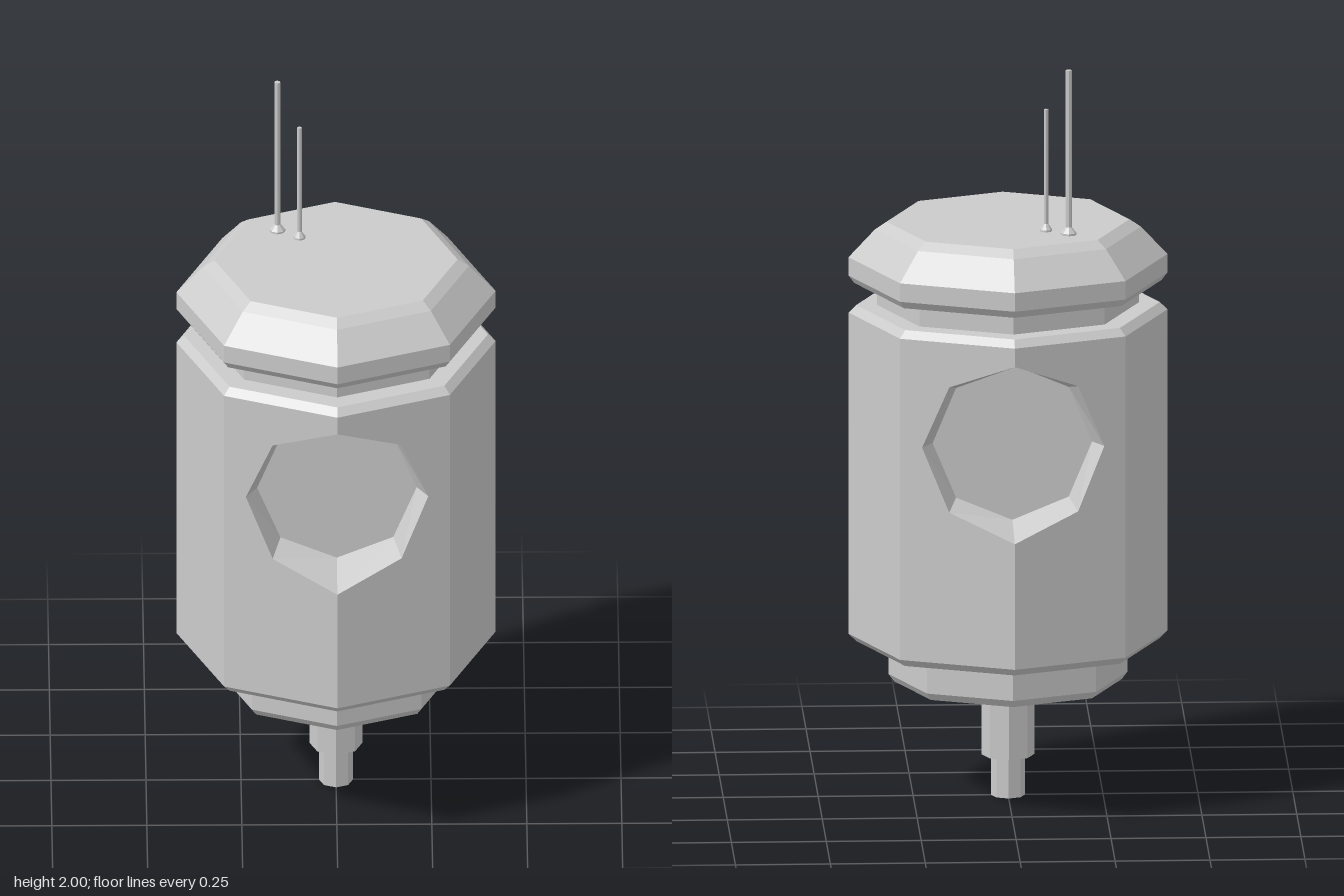
import * as THREE from 'three';

const SIDES = 8;
const R = 0.42;                        // body corner radius
const SLOPE = Math.tan(Math.PI / 8);   // how fast a front facet falls away from its corner edge
const WALL = [0.44, 1.31];             // straight body wall, bottom and top
const PIT = { y: 1.02, rim: 0.24, floor: 0.21, floorZ: 0.27 };

const material = new THREE.MeshStandardMaterial({ color: 0xcccccc, flatShading: true });
const thinMaterial = new THREE.MeshStandardMaterial({ color: 0xcccccc, flatShading: true, side: THREE.DoubleSide });

function add(parent, name, geometry, mat = material) {
  const mesh = new THREE.Mesh(geometry, mat);
  mesh.name = name;
  parent.add(mesh);
  return mesh;
}

// Eight-sided turned part; profile is [radius, y] from bottom to top
function turned(profile) {
  return new THREE.LatheGeometry(profile.map(([r, y]) => new THREE.Vector2(r, y)), SIDES);
}

const wallZ = (x) => R - SLOPE * Math.abs(x);

// Point of the octagonal pit outline, i counted clockwise from the top
function pitPoint(i, radius) {
  const a = (i / SIDES) * Math.PI * 2;
  return [radius * Math.sin(a), PIT.y + radius * Math.cos(a)];
}

// One front facet with half of the octagonal opening cut from its edge
function facetGeometry(side) {
  const w = R * Math.SQRT1_2;
  const outline = [[0, WALL[0]], [w, WALL[0]], [w, WALL[1]], [0, WALL[1]]];
  for (let i = 0; i <= 4; i++) outline.push(pitPoint(i, PIT.rim));
  const shape = new THREE.Shape(outline.map(([x, y]) => new THREE.Vector2(x * side, y)));
  const geometry = new THREE.ShapeGeometry(shape);
  const p = geometry.attributes.position;
  for (let i = 0; i < p.count; i++) p.setZ(i, wallZ(p.getX(i)));
  geometry.computeVertexNormals();
  return geometry;
}

// Sloping sides and flat floor of the recess
function pitGeometry() {
  const v = [];
  for (let i = 0; i < SIDES; i++) {
    const [ax, ay] = pitPoint(i, PIT.rim);
    const [bx, by] = pitPoint(i + 1, PIT.rim);
    const a = [ax, ay, wallZ(ax)];
    const b = [bx, by, wallZ(bx)];
    const c = [...pitPoint(i, PIT.floor), PIT.floorZ];
    const d = [...pitPoint(i + 1, PIT.floor), PIT.floorZ];
    v.push(...a, ...c, ...b, ...b, ...c, ...d, ...c, 0, PIT.y, PIT.floorZ, ...d);
  }
  const geometry = new THREE.BufferGeometry();
  geometry.setAttribute('position', new THREE.Float32BufferAttribute(v, 3));
  geometry.computeVertexNormals();
  return geometry;
}

export function createModel() {
  const model = new THREE.Group();
  model.name = 'canister';

  // Stepped shaft under the body
  add(model, 'shaft', turned([[0, 0], [0.045, 0], [0.045, 0.11], [0.07, 0.11], [0.07, 0.31]]));

  // Bottom collar and lower bevel of the body
  add(model, 'lowerCollar', turned([[0, 0.31], [0.3, 0.31], [0.315, 0.33], [0.315, 0.42]]));
  add(model, 'bodyLowerBevel', turned([[0.3, 0.42], [0.4, 0.42], [R, WALL[0]]]));

  // Body walls: front and back halves hold a recess, the sides are plain
  const height = WALL[1] - WALL[0];
  for (const [name, turn] of [['front', 0], ['back', Math.PI]]) {
    const half = new THREE.Group();
    half.name = name + 'Wall';
    half.rotation.y = turn;
    add(half, name + 'LeftFacet', facetGeometry(1));
    add(half, name + 'RightFacet', facetGeometry(-1));
    add(half, name + 'Recess', pitGeometry(), thinMaterial);
    const sideWall = new THREE.CylinderGeometry(R, R, height, 2, 1, true, Math.PI / 4, Math.PI / 2);
    add(half, turn ? 'rightSideWall' : 'leftSideWall', sideWall).position.y = (WALL[0] + WALL[1]) / 2;
    model.add(half);
  }

  // Upper bevel, neck and lid
  add(model, 'bodyUpperBevel', turned([[R, WALL[1]], [0.4, 1.33], [0.34, 1.33]]));
  add(model, 'neck', turned([[0.345, 1.33], [0.345, 1.39]]));
  add(model, 'lid', turned([[0, 1.39], [0.405, 1.39], [R, 1.41], [R, 1.46], [0.35, 1.535], [0.32, 1.555], [0, 1.555]]));

  // Two thin antennas with small conical feet: x, z, tip height, rod radius, foot radius
  for (const [name, x, z, tip, rod, foot] of [
    ['tallAntenna', -0.153, -0.162, 2, 0.008, 0.021],
    ['shortAntenna', -0.095, -0.122, 1.885, 0.006, 0.016],
  ]) {
    const antenna = add(model, name, turned([[foot, 1.55], [foot, 1.56], [rod, 1.575], [rod, tip], [0, tip]]));
    antenna.position.set(x, 0, z);
  }
  return model;
}
